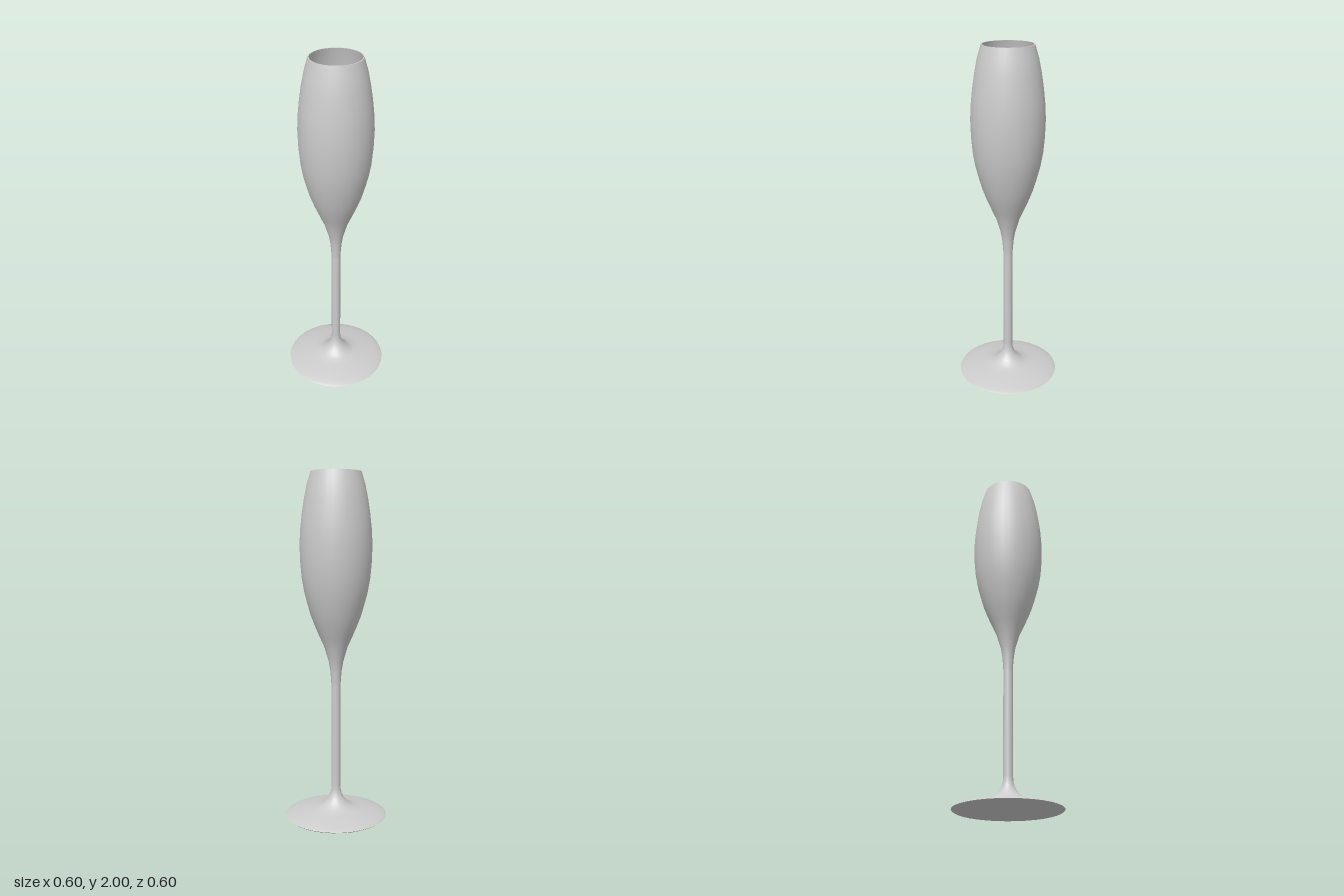
import * as THREE from 'three';

const SEGMENTS = 32;

export function createModel() {
  const glass = new THREE.Group();
  glass.name = 'champagneFlute';
  const material = new THREE.MeshStandardMaterial({ color: 0xcccccc });

  // Revolve a list of [radius, height] points around the y axis
  const revolve = (name, profile) => {
    const points = profile.map(([r, y]) => new THREE.Vector2(r, y));
    const mesh = new THREE.Mesh(new THREE.LatheGeometry(points, SEGMENTS), material);
    mesh.name = name;
    glass.add(mesh);
  };

  // Flat underside
  revolve('footUnderside', [[0, 0], [0.29, 0], [0.298, 0.006]]);

  // Shallow foot sweeping up into the stem
  revolve('foot', [
    [0.298, 0.006], [0.285, 0.014], [0.25, 0.024], [0.2, 0.035], [0.15, 0.044],
    [0.108, 0.053], [0.083, 0.068], [0.063, 0.085], [0.047, 0.105],
    [0.035, 0.128], [0.028, 0.155], [0.027, 0.18],
  ]);

  // Straight stem
  revolve('stem', [[0.027, 0.18], [0.027, 0.78]]);

  // Outer wall of the bowl
  revolve('bowlOutside', [
    [0.027, 0.78], [0.028, 0.81], [0.033, 0.87], [0.042, 0.925], [0.067, 1.01],
    [0.094, 1.07], [0.122, 1.135], [0.145, 1.195], [0.165, 1.265],
    [0.182, 1.33], [0.196, 1.41], [0.204, 1.5], [0.207, 1.6],
    [0.202, 1.69], [0.193, 1.77], [0.181, 1.85], [0.166, 1.925], [0.144, 2],
  ]);

  // Narrow rim
  revolve('rim', [[0.144, 2], [0.138, 2]]);

  // Inner wall of the bowl, down to its rounded bottom
  revolve('bowlInside', [
    [0.138, 2], [0.158, 1.925], [0.172, 1.85], [0.184, 1.77], [0.193, 1.69],
    [0.197, 1.6], [0.194, 1.5], [0.186, 1.41], [0.172, 1.33], [0.155, 1.265],
    [0.135, 1.195], [0.111, 1.135], [0.082, 1.07], [0.055, 1.02],
    [0.028, 0.99], [0, 0.98],
  ]);

  return glass;
}
